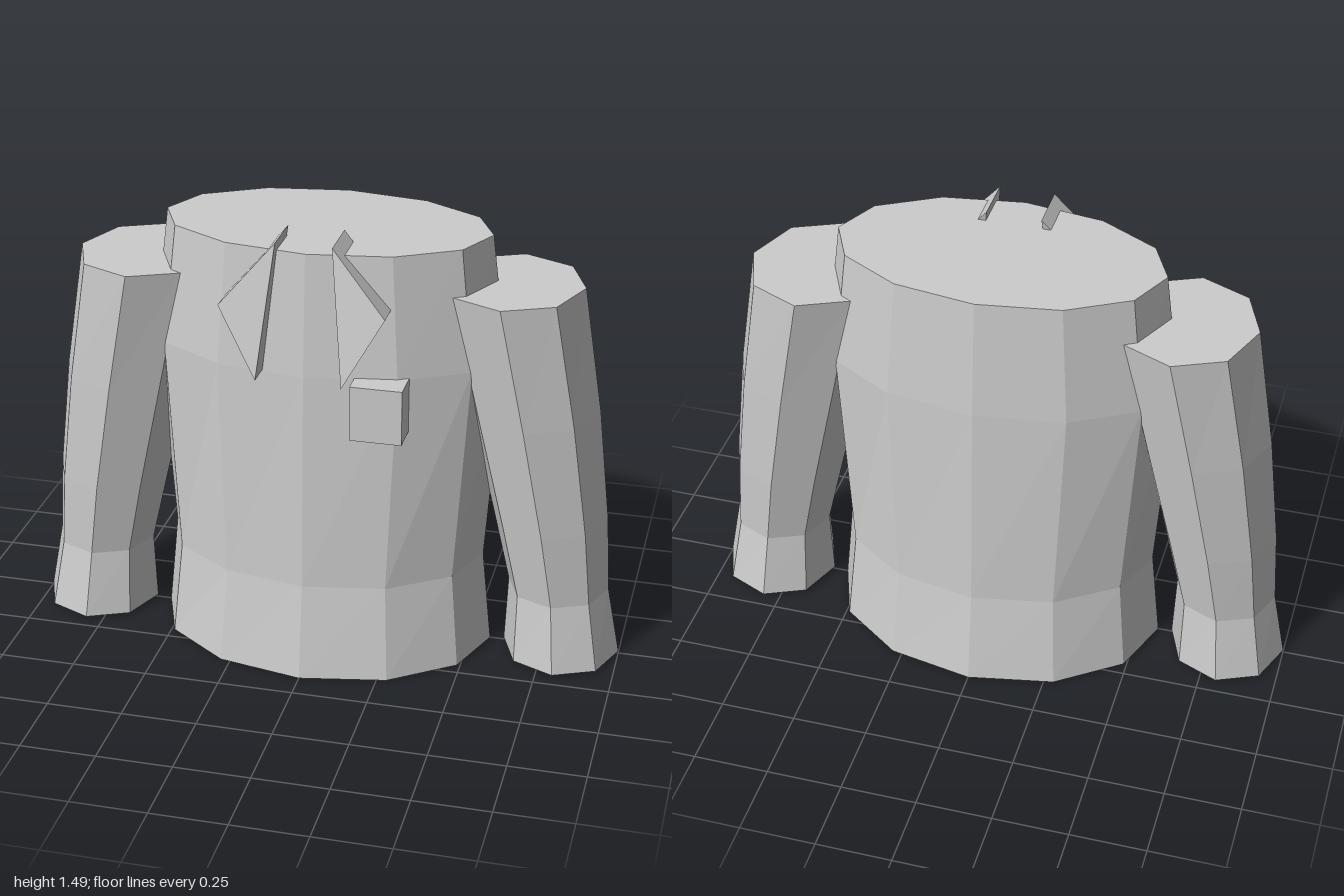
import * as THREE from 'three';

const fabric = new THREE.MeshStandardMaterial({ color: 0xcccccc, flatShading: true });
fabric.name = 'light grey fabric';

// Closed faceted tube through elliptical rings, top to bottom: [y, centreX, radiusX, radiusZ]
function ringTube(name, sides, rings) {
  const geo = new THREE.CylinderGeometry(1, 1, 1, sides, rings.length - 1);
  const pos = geo.attributes.position;
  for (let i = 0; i < pos.count; i++) {
    const [y, cx, rx, rz] = rings[Math.round((0.5 - pos.getY(i)) * (rings.length - 1))];
    pos.setXYZ(i, cx + pos.getX(i) * rx, y, pos.getZ(i) * rz);
  }
  geo.computeVertexNormals();
  return makeMesh(name, geo);
}

function makeMesh(name, geo) {
  const mesh = new THREE.Mesh(geo, fabric);
  mesh.name = name;
  return mesh;
}

// Triangular collar flap, leaning forward towards its lower tip
function collarFlap(name, side) {
  const corners = [[0.09, 1.485], [0.265, 1.28], [0.137, 1.055]];
  const shape = new THREE.Shape(corners.map(([x, y]) => new THREE.Vector2(side * x, y)));
  const geo = new THREE.ExtrudeGeometry(shape, { depth: 0.165, bevelEnabled: false });
  const pos = geo.attributes.position;
  for (let i = 0; i < pos.count; i++) {
    pos.setZ(i, pos.getZ(i) + 0.155 + (1.485 - pos.getY(i)) * 0.186);
  }
  geo.computeVertexNormals();
  return makeMesh(name, geo);
}

export function createModel() {
  const model = new THREE.Group();
  model.name = 'jacket';

  // Body, flaring at the hem
  model.add(ringTube('body', 12, [
    [1.45, 0, 0.533, 0.3],
    [1.05, 0, 0.583, 0.332],
    [0.32, 0, 0.532, 0.362],
    [0, 0, 0.565, 0.408],
  ]));

  for (const [label, side] of [['left', 1], ['right', -1]]) {
    // Sleeve, curving outwards to a flared cuff
    model.add(ringTube(label + 'Sleeve', 8, [
      [1.3, side * 0.6, 0.23, 0.25],
      [0.88, side * 0.682, 0.215, 0.222],
      [0.5, side * 0.75, 0.19, 0.195],
      [0.24, side * 0.788, 0.167, 0.172],
      [0.008, side * 0.806, 0.194, 0.207],
    ]));
    model.add(collarFlap(label + 'CollarFlap', side));
  }

  // Chest pocket
  const pocket = makeMesh('chestPocket', new THREE.BoxGeometry(0.167, 0.183, 0.155));
  pocket.position.set(0.242, 0.963, 0.298);
  model.add(pocket);

  return model;
}
